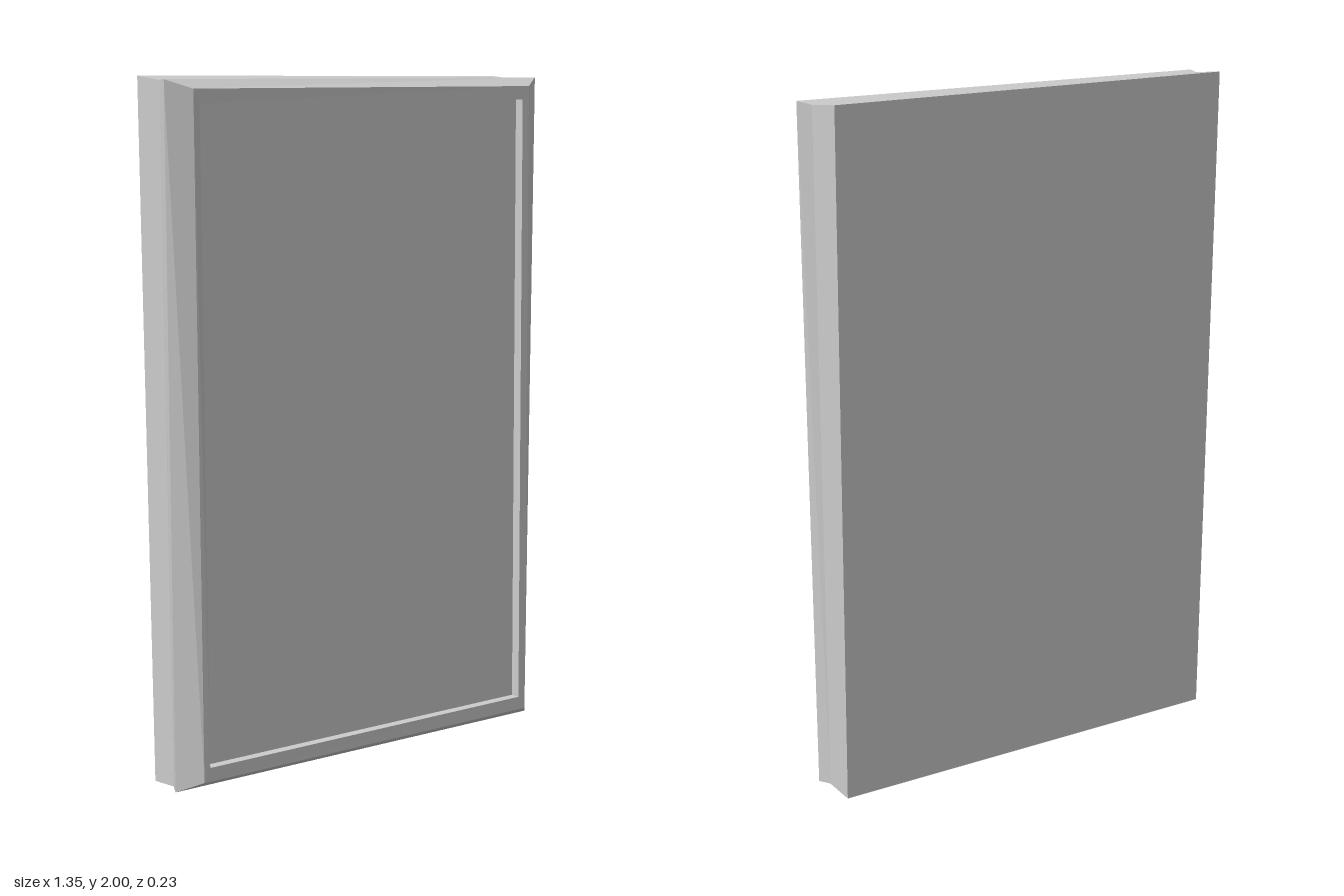
import * as THREE from 'three';

// Corner rings run bottom left, bottom right, top right, top left as seen from the front.
const back = [[-0.65, 0, -0.095], [0.635, 0, -0.09], [0.645, 2, -0.12], [-0.66, 2, -0.12]];
const neck = [[-0.65, 0.008, 0], [0.635, 0.008, 0.01], [0.645, 1.988, 0], [-0.66, 1.988, -0.01]];
const ridge = [[-0.67, 0.005, 0.04], [0.65, 0.005, 0.05], [0.67, 1.996, 0.04], [-0.675, 1.99, 0.035]];
const lip = [[-0.61, 0.035, 0.097], [0.59, 0.04, 0.115], [0.6, 1.97, 0.09], [-0.605, 1.965, 0.072]];
const opening = [[-0.59, 0.075, 0.097], [0.565, 0.08, 0.114], [0.575, 1.93, 0.09], [-0.585, 1.925, 0.072]];
const floor = opening.map(([x, y, z]) => [x, y, z - 0.03]);

// Flat-faced mesh from four-cornered faces
function quadMesh(name, quads) {
  const points = quads.flatMap(([a, b, c, d]) => [a, b, c, a, c, d]).flat();
  const geometry = new THREE.BufferGeometry();
  geometry.setAttribute('position', new THREE.Float32BufferAttribute(points, 3));
  geometry.computeVertexNormals();
  const material = new THREE.MeshStandardMaterial({ color: 0xcccccc, flatShading: true });
  const mesh = new THREE.Mesh(geometry, material);
  mesh.name = name;
  return mesh;
}

// Band of four faces between each pair of neighbouring rings
function loft(...rings) {
  const quads = [];
  for (let i = 0; i < rings.length - 1; i++) {
    for (let j = 0; j < 4; j++) {
      const k = (j + 1) % 4;
      quads.push([rings[i][j], rings[i][k], rings[i + 1][k], rings[i + 1][j]]);
    }
  }
  return quads;
}

export function createModel() {
  const model = new THREE.Group();
  model.name = 'pictureFrame';
  model.add(
    quadMesh('backBox', [...loft(back, neck), [...back].reverse()]),
    quadMesh('frameMoulding', loft(neck, ridge, lip)),
    quadMesh('frontLip', loft(lip, opening, floor)),
    quadMesh('picturePanel', [floor]),
  );
  return model;
}
